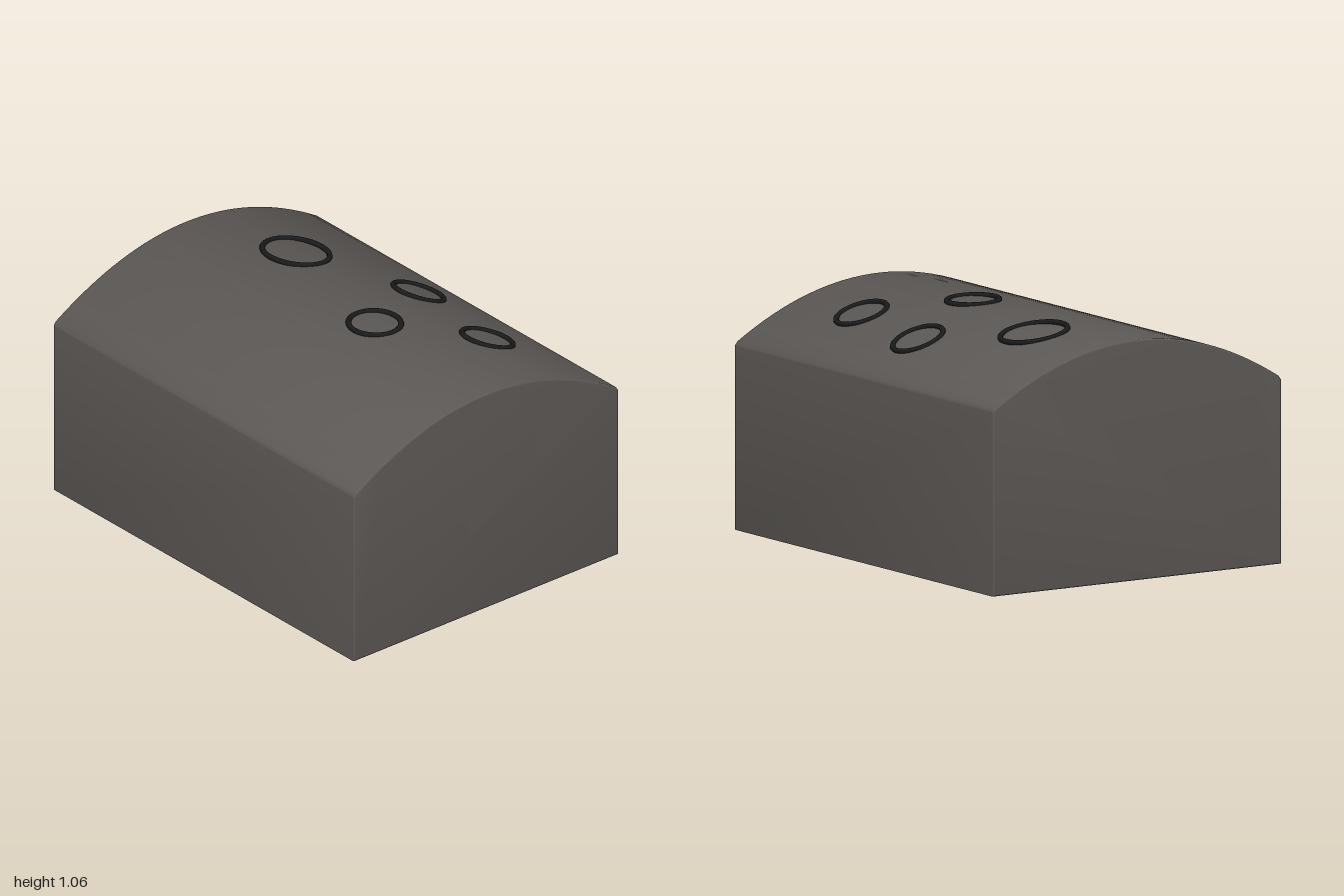
import * as THREE from 'three';
import { toCreasedNormals } from 'three/addons/utils/BufferGeometryUtils.js';

const HALF_WIDTH = 0.74, CREST = 1.045, CURVE = 0.43, BEVEL = 0.008;

// Height and slope of the arched top at x
const topHeight = (x) => CREST - CURVE * x * x;
const topSlope = (x) => -2 * CURVE * x;

export function createModel() {
  const group = new THREE.Group();
  const bodyGrey = new THREE.MeshStandardMaterial({ name: 'bodyGrey', color: 0x5c5855 });
  const ringBlack = new THREE.MeshStandardMaterial({ name: 'ringBlack', color: 0x1a1a1a });

  // Solid block with an arched top and softened edges
  const shape = new THREE.Shape();
  shape.moveTo(-HALF_WIDTH, 0);
  shape.lineTo(HALF_WIDTH, 0);
  shape.lineTo(HALF_WIDTH, 0.8);
  const steps = 32, edge = HALF_WIDTH - 0.012;
  for (let i = 0; i <= steps; i++) {
    const x = edge - (2 * edge * i) / steps;
    shape.lineTo(x, topHeight(x));
  }
  shape.lineTo(-HALF_WIDTH, 0.8);
  shape.closePath();
  const block = new THREE.ExtrudeGeometry(shape, {
    depth: 2 - 2 * BEVEL, bevelEnabled: true, bevelThickness: BEVEL,
    bevelSize: BEVEL, bevelOffset: -BEVEL, bevelSegments: 3,
  });
  block.translate(0, 0, -1 + BEVEL);
  const body = new THREE.Mesh(toCreasedNormals(block, 0.62), bodyGrey);
  body.name = 'archedBody';
  group.add(body);

  // Four rings lying on the arch: x, z, outer radius
  const rings = [
    [0.21, -0.515, 0.158],
    [0.47, -0.01, 0.125],
    [0.04, 0.21, 0.125],
    [0.40, 0.53, 0.125],
  ];
  const tube = 0.012;
  rings.forEach(([x, z, radius], i) => {
    const geometry = new THREE.TorusGeometry(radius - tube, tube, 10, 48);
    geometry.rotateX(-Math.PI / 2);
    const ring = new THREE.Mesh(geometry, ringBlack);
    ring.name = `topRing${i + 1}`;
    ring.position.set(x, topHeight(x), z);
    ring.rotation.z = Math.atan(topSlope(x));
    group.add(ring);
  });

  return group;
}
